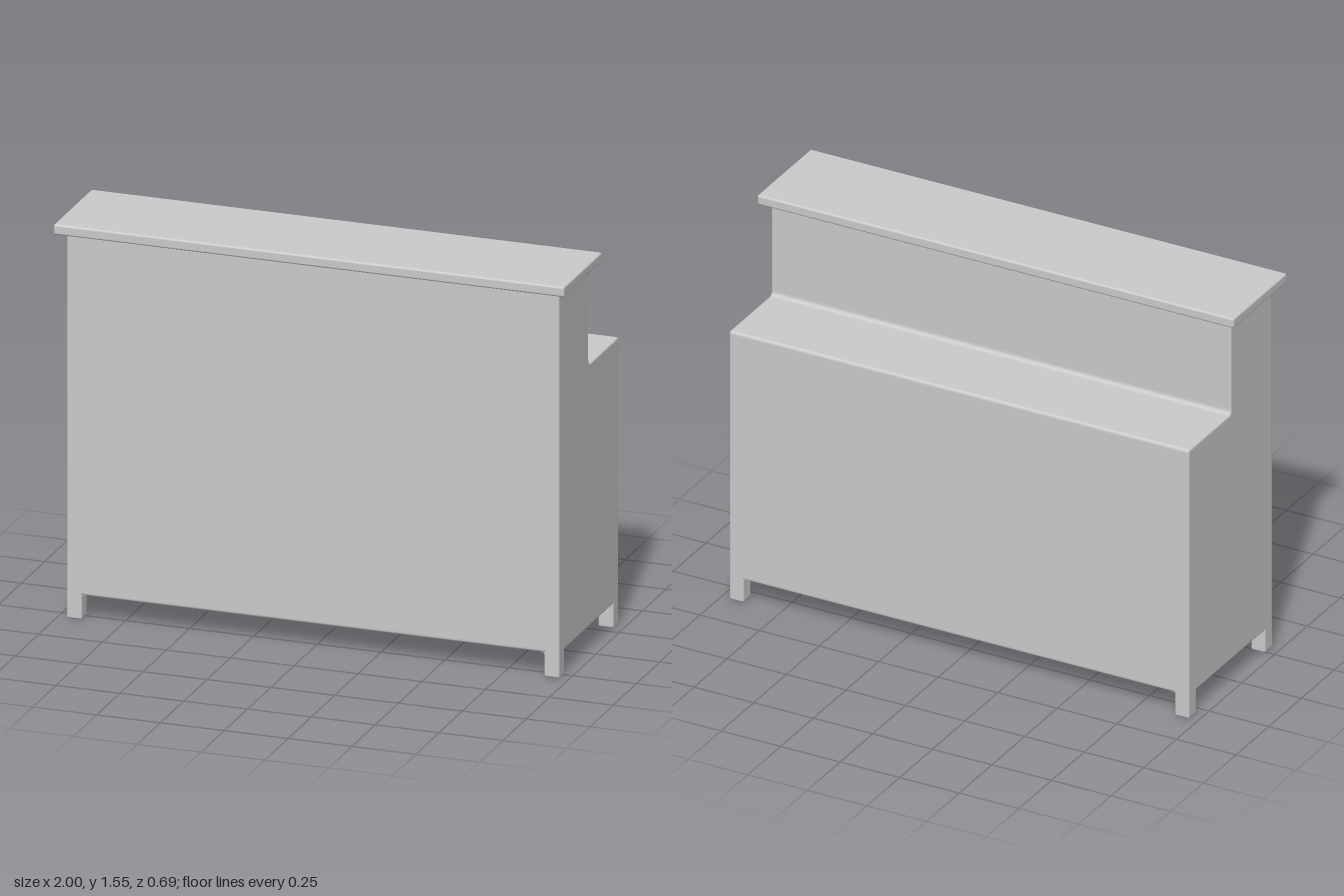
import * as THREE from 'three';
import { RoundedBoxGeometry } from 'three/addons/geometries/RoundedBoxGeometry.js';

const HALF_W = 0.965, FRONT = 0.30, BACK = -0.342, STEP_Z = -0.02;
const FLOOR = 0.095, STEP_Y = 1.122, TOP = 1.515, LEG = 0.06, R = 0.008;

const material = new THREE.MeshStandardMaterial({ color: 0xcccccc });

function addMesh(parent, name, geometry, x = 0, y = 0, z = 0) {
  const mesh = new THREE.Mesh(geometry, material);
  mesh.name = name;
  mesh.position.set(x, y, z);
  parent.add(mesh);
  return mesh;
}

// Closed outline whose corners [x, y, radius] are rounded
function roundedOutline(corners) {
  const shape = new THREE.Shape();
  const n = corners.length;
  corners.forEach(([x, y, r], i) => {
    const p = new THREE.Vector2(x, y);
    const toward = ([qx, qy]) =>
      new THREE.Vector2(qx, qy).sub(p).normalize().multiplyScalar(r).add(p);
    const a = toward(corners[(i + n - 1) % n]);
    const b = toward(corners[(i + 1) % n]);
    if (i === 0) shape.moveTo(a.x, a.y);
    else shape.lineTo(a.x, a.y);
    shape.quadraticCurveTo(x, y, b.x, b.y);
  });
  shape.closePath();
  return shape;
}

// Stepped cabinet: side profile (z, y) extruded across the width
function bodyGeometry() {
  const c = 0.012;
  const profile = roundedOutline([
    [BACK, FLOOR, c], [FRONT, FLOOR, c], [FRONT, TOP, c],
    [STEP_Z, TOP, c], [STEP_Z, STEP_Y, 0.018], [BACK, STEP_Y, c],
  ]);
  const geometry = new THREE.ExtrudeGeometry(profile, {
    depth: 2 * (HALF_W - R), curveSegments: 4,
    bevelEnabled: true, bevelSize: R, bevelThickness: R, bevelOffset: -R, bevelSegments: 3,
  });
  return geometry.translate(0, 0, -(HALF_W - R)).rotateY(-Math.PI / 2);
}

// Small concave fillet running along z, filling the corner under the floor
function filletGeometry() {
  const r = 0.015;
  const shape = new THREE.Shape();
  shape.moveTo(0, 0.01);
  shape.lineTo(0, -r);
  shape.quadraticCurveTo(0, 0, r, 0);
  shape.lineTo(r, 0.01);
  shape.closePath();
  const length = LEG - 2 * R;
  return new THREE.ExtrudeGeometry(shape, { depth: length, curveSegments: 5, bevelEnabled: false })
    .translate(0, 0, -length / 2);
}

export function createModel() {
  const group = new THREE.Group();
  group.name = 'barCounter';

  addMesh(group, 'cabinet', bodyGeometry());

  // Overhanging counter slab
  const slab = new RoundedBoxGeometry(2, 0.04, 0.41, 3, R);
  addMesh(group, 'counterTop', slab, 0, 1.53, 0.14);

  // Four square feet, flush with the cabinet corners
  const legHeight = FLOOR + 0.03;
  const legGeometry = new RoundedBoxGeometry(LEG, legHeight, LEG, 3, R);
  const fillet = filletGeometry();
  for (const sx of [1, -1]) {
    for (const sz of [1, -1]) {
      const foot = new THREE.Group();
      foot.name = (sz > 0 ? 'front' : 'back') + (sx > 0 ? 'Left' : 'Right') + 'Foot';
      foot.position.set(sx * (HALF_W - LEG / 2), 0, sz > 0 ? FRONT - LEG / 2 : BACK + LEG / 2);
      addMesh(foot, 'leg', legGeometry, 0, legHeight / 2, 0);
      // Fillets on the two inward sides
      const fx = addMesh(foot, 'sideFillet', fillet, -sx * LEG / 2, FLOOR, 0);
      fx.rotation.y = sx > 0 ? Math.PI : 0;
      const fz = addMesh(foot, 'depthFillet', fillet, 0, FLOOR, -sz * LEG / 2);
      fz.rotation.y = sz * Math.PI / 2;
      group.add(foot);
    }
  }
  return group;
}
